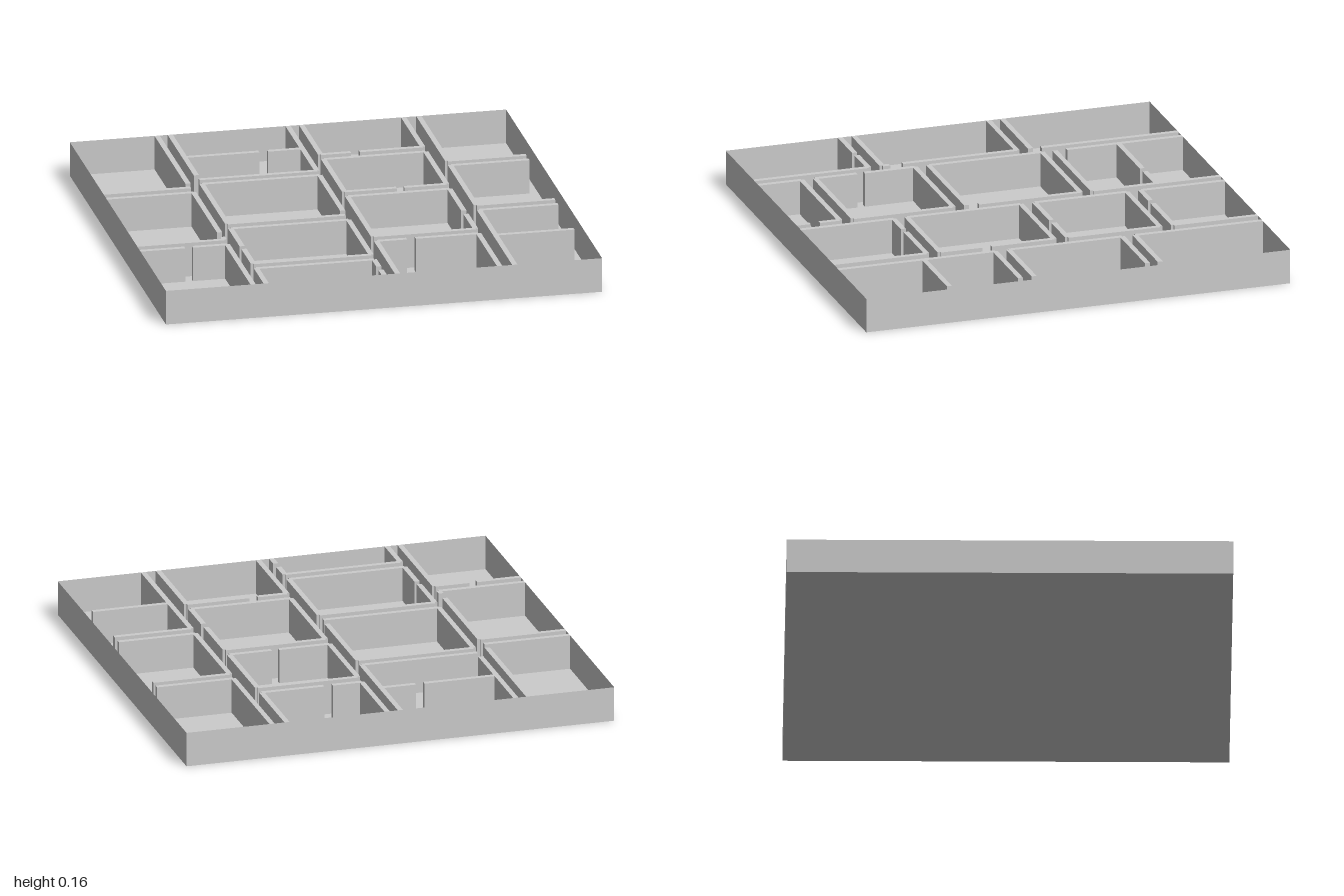
import * as THREE from 'three';

const HEIGHT = 0.16;
const THICK = 0.024;

// Walls running front to back: x, then [z start, z end] for each stretch
const lengthwise = [
  [-0.6, [-1, -0.355], [-0.24, 0.3], [0.36, 0.395], [0.46, 1]],
  [-0.54, [-1, -0.455], [-0.34, 0.195], [0.26, 0.5], [0.535, 0.73], [0.795, 1]],
  [0, [-1, -0.4], [-0.34, 0.14], [0.26, 0.73], [0.795, 0.89], [0.935, 1]],
  [0.062, [-1, -0.605], [-0.54, -0.105], [-0.04, 0.497], [0.56, 1]],
  [0.53, [-1, -0.605], [-0.54, -0.105], [-0.04, 0.255], [0.3, 0.497], [0.56, 1]],
  [0.6, [-1, -0.4], [-0.34, 0.195], [0.26, 1]],
];

// Walls running side to side: z, then [x start, x end] for each stretch
const crosswise = [
  // left column of rooms
  [-0.305, [-1, -0.6]],
  [-0.24, [-1, -0.6]],
  [0.395, [-1, -0.6]],
  [0.46, [-1, -0.795], [-0.76, -0.6]],
  // second column, with a doorway in the first wall
  [-0.7, [-0.54, -0.2], [-0.16, 0]],
  ...[-0.4, -0.34, 0.195, 0.26, 0.73, 0.795].map((z) => [z, [-0.54, 0]]),
  // third column
  [-0.605, [0.062, 0.2], [0.24, 0.53]],
  [-0.105, [0.062, 0.3], [0.335, 0.53]],
  [0.56, [0.062, 0.2], [0.24, 0.53]],
  ...[-0.54, -0.04, 0.497].map((z) => [z, [0.062, 0.53]]),
  // fourth column, open beside the outer wall
  ...[-0.4, -0.34, 0.195, 0.26, 0.595].map((z) => [z, [0.6, 0.96]]),
];

export function createModel() {
  const model = new THREE.Group();
  model.name = 'roomMaze';
  const solid = new THREE.MeshStandardMaterial({ color: 0xcccccc });
  const sheet = new THREE.MeshStandardMaterial({ color: 0xcccccc, side: THREE.DoubleSide });

  // Floor sheet
  const floor = new THREE.Mesh(new THREE.PlaneGeometry(2, 2), sheet);
  floor.name = 'floor';
  floor.rotation.x = -Math.PI / 2;
  model.add(floor);

  // Four thin outer walls
  ['front', 'left', 'back', 'right'].forEach((side, i) => {
    const geometry = new THREE.PlaneGeometry(2, HEIGHT);
    geometry.translate(0, HEIGHT / 2, 1);
    geometry.rotateY((i * Math.PI) / 2);
    const wall = new THREE.Mesh(geometry, sheet);
    wall.name = `${side}OuterWall`;
    model.add(wall);
  });

  // Inner walls end on each other's centre lines, leaving notched corners
  const addWalls = (name, rows, alongZ) => {
    const group = new THREE.Group();
    group.name = name;
    for (const [offset, ...stretches] of rows) {
      for (const [start, end] of stretches) {
        const length = end - start;
        const middle = (start + end) / 2;
        const base = 0.001; // keeps the underside clear of the floor sheet
        const geometry = new THREE.BoxGeometry(
          alongZ ? THICK : length, HEIGHT - base, alongZ ? length : THICK);
        const wall = new THREE.Mesh(geometry, solid);
        wall.name = 'innerWall';
        wall.position.set(alongZ ? offset : middle, (HEIGHT + base) / 2, alongZ ? middle : offset);
        group.add(wall);
      }
    }
    model.add(group);
  };
  addWalls('lengthwiseWalls', lengthwise, true);
  addWalls('crosswiseWalls', crosswise, false);

  return model;
}
